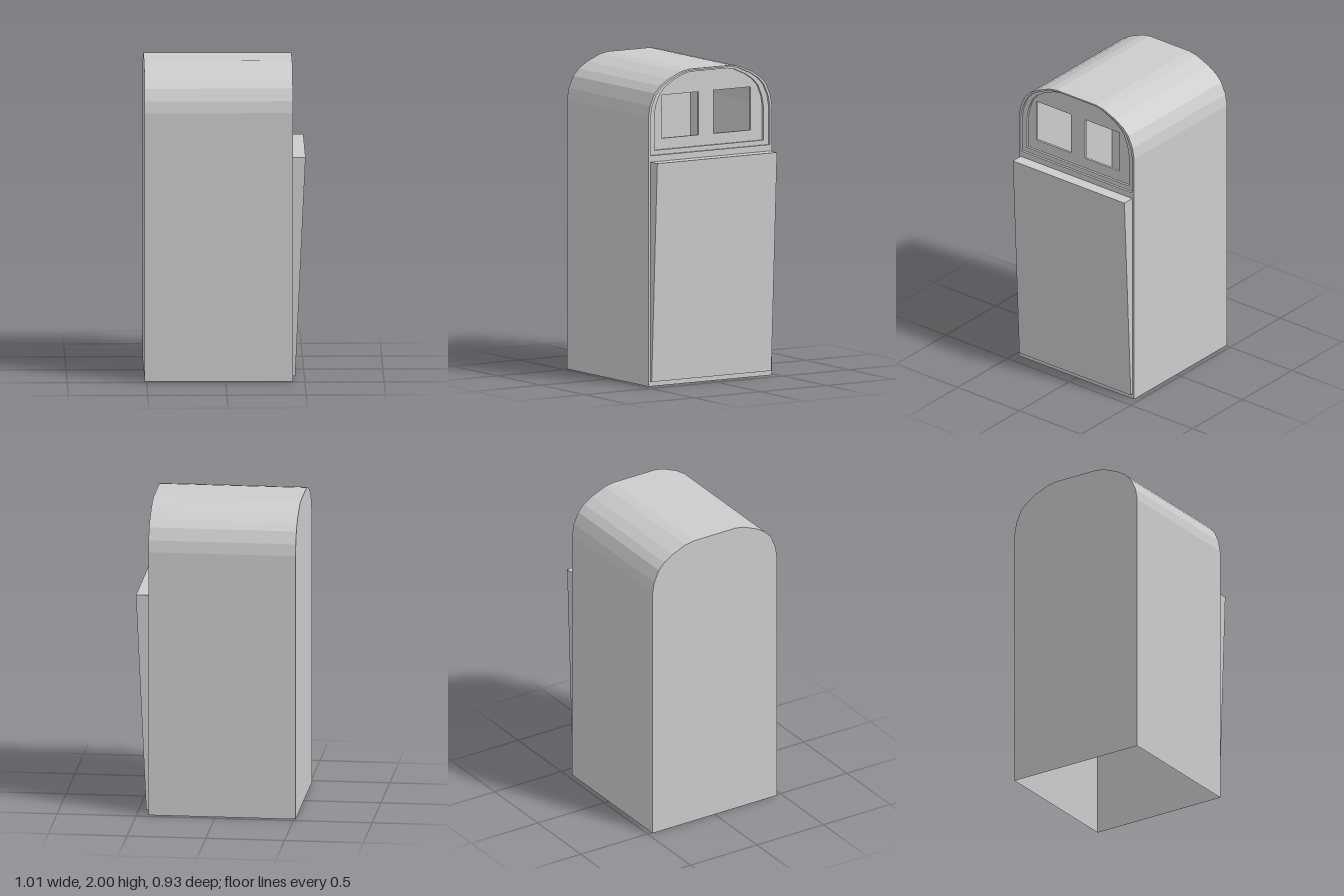
import * as THREE from 'three';

const material = new THREE.MeshStandardMaterial({
  color: 0xcccccc, flatShading: true, side: THREE.DoubleSide,
});
const BACK = -0.51, FRONT = 0.425, STEP = 0.015;

// Half of the faceted roof curve: [fraction of half width, fraction of arch rise]
const ROOF = [[1, 0], [0.972, 0.26], [0.9, 0.525], [0.81, 0.68], [0.675, 0.82], [0.472, 0.96], [0.343, 1]];

// Round-topped outline in (u, y), counter-clockwise, where u = -z
function arch(halfWidth, bottom, top, spring = 1.715) {
  const side = ROOF.map(([w, h]) => new THREE.Vector2(w * halfWidth, spring + h * (top - spring)));
  const mirrored = side.map((p) => new THREE.Vector2(-p.x, p.y)).reverse();
  return [
    new THREE.Vector2(-halfWidth, bottom), new THREE.Vector2(halfWidth, bottom),
    ...side, ...mirrored,
  ];
}

function rect(u0, u1, y0, y1) {
  return [[u0, y0], [u1, y0], [u1, y1], [u0, y1]].map(([u, y]) => new THREE.Vector2(u, y));
}

// Flat panel facing +x, with holes
function panel(outline, holes, x) {
  const shape = new THREE.Shape(outline);
  shape.holes = holes.map((h) => new THREE.Path(h));
  return new THREE.ShapeGeometry(shape).rotateY(Math.PI / 2).translate(x, 0, 0);
}

// Strip of walls along an outline, from x0 to x1; openBottom skips the first edge
function walls(outline, x0, x1, openBottom = false) {
  const pos = [];
  outline.forEach((a, i) => {
    if (openBottom && i === 0) return;
    const b = outline[(i + 1) % outline.length];
    const p = [x0, a.y, -a.x], q = [x0, b.y, -b.x], r = [x1, b.y, -b.x], s = [x1, a.y, -a.x];
    pos.push(...p, ...q, ...r, ...p, ...r, ...s);
  });
  const g = new THREE.BufferGeometry();
  g.setAttribute('position', new THREE.Float32BufferAttribute(pos, 3));
  g.computeVertexNormals();
  return g;
}

export function createModel() {
  const group = new THREE.Group();
  const add = (name, geometry) => {
    const mesh = new THREE.Mesh(geometry, material);
    mesh.name = name;
    group.add(mesh);
  };

  const body = arch(0.467, 0, 2);
  const outerRecess = arch(0.45, 1.47, 1.99);
  const innerRecess = arch(0.412, 1.5, 1.98);
  const windows = [rect(-0.35, -0.07, 1.57, 1.845), rect(0.045, 0.325, 1.57, 1.845)];

  // Hollow shell, open underneath
  add('shell', walls(body, BACK, FRONT, true));
  add('backPanel', panel(body, [], BACK).scale(1, 1, -1));
  add('frontPanel', panel(body, [outerRecess], FRONT));

  // Two-step recess around the openings
  add('outerRecessWall', walls(outerRecess, FRONT, FRONT - STEP));
  add('recessRing', panel(outerRecess, [innerRecess], FRONT - STEP));
  add('innerRecessWall', walls(innerRecess, FRONT - STEP, FRONT - 2 * STEP));
  add('openingPanel', panel(innerRecess, windows, FRONT - 2 * STEP));
  windows.forEach((w) => add('openingRim', walls(w, FRONT - 2 * STEP, FRONT - 3 * STEP)));

  // Wedge-shaped door, thicker towards the top
  const wedge = new THREE.Shape([
    new THREE.Vector2(FRONT, 0.03), new THREE.Vector2(0.44, 0.03),
    new THREE.Vector2(0.505, 1.43), new THREE.Vector2(FRONT, 1.43),
  ]);
  add('door', new THREE.ExtrudeGeometry(wedge, { depth: 0.904, bevelEnabled: false }).translate(0, 0, -0.452));

  return group;
}
